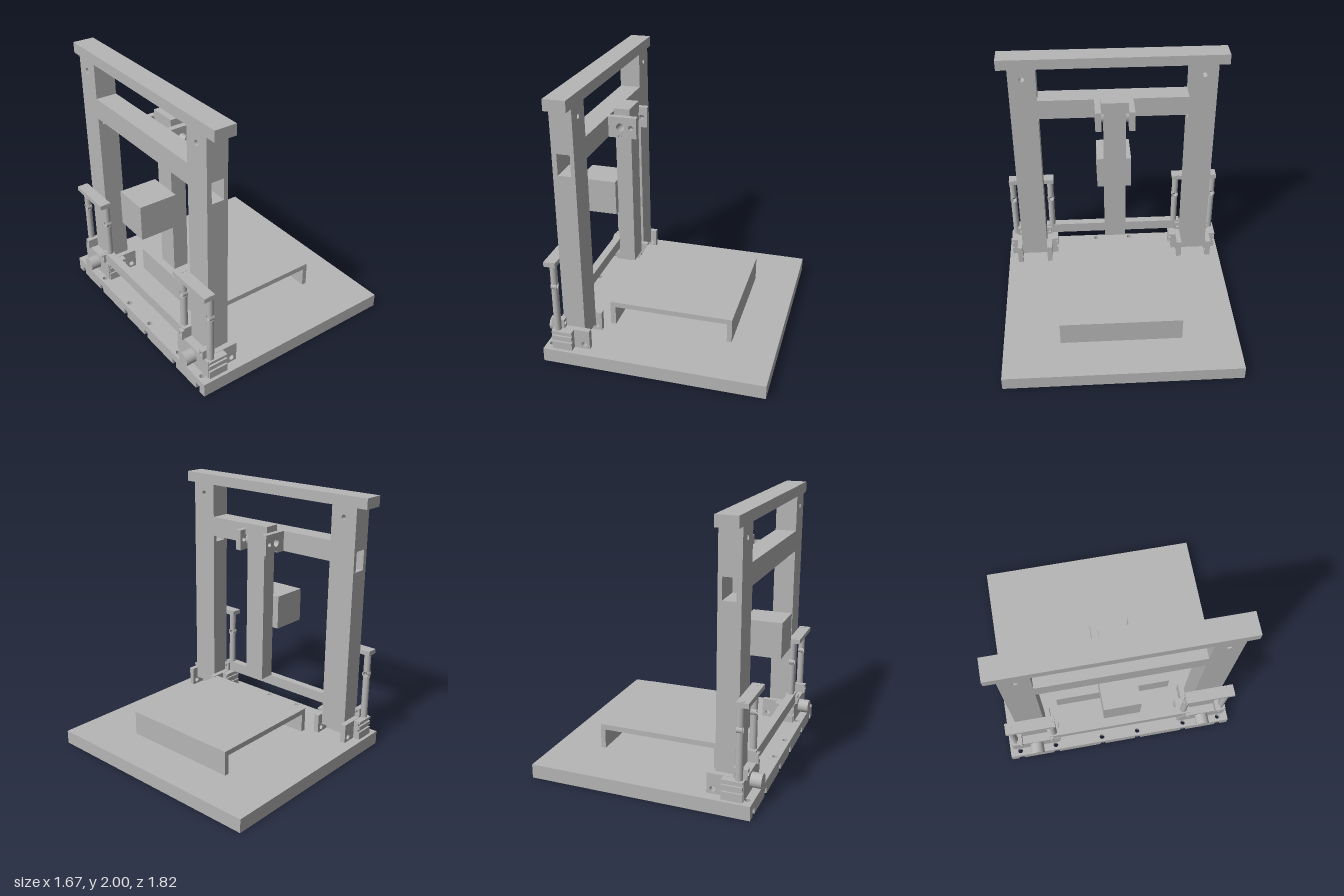
import * as THREE from 'three';

const grey = new THREE.MeshStandardMaterial({ color: 0xb6b6b6 });
grey.name = 'light grey';

function add(parent, name, geometry) {
  const mesh = new THREE.Mesh(geometry, grey);
  mesh.name = name;
  parent.add(mesh);
  return mesh;
}

// Box given by its limits on each axis
function box(parent, name, [x0, x1], [y0, y1], [z0, z1]) {
  const g = new THREE.BoxGeometry(x1 - x0, y1 - y0, z1 - z0);
  return add(parent, name, g.translate((x0 + x1) / 2, (y0 + y1) / 2, (z0 + z1) / 2));
}

function polygon(points) {
  return new THREE.Shape(points.map(([x, y]) => new THREE.Vector2(x, y)));
}

function rect(x0, x1, y0, y1) {
  return polygon([[x0, y0], [x1, y0], [x1, y1], [x0, y1]]);
}

function disc(x, y, r) {
  return new THREE.Shape().absarc(x, y, r, 0, Math.PI * 2, false);
}

// Extrudes a shape with holes between two positions on an axis
// (shape axes: z -> x,y   x -> -z,y   y -> x,-z)
function slab(parent, name, axis, [from, to], shape, holes = []) {
  shape.holes.push(...holes);
  const g = new THREE.ExtrudeGeometry(shape, { depth: to - from, bevelEnabled: false, curveSegments: 16 });
  g.translate(0, 0, from);
  if (axis === 'x') g.rotateY(Math.PI / 2);
  if (axis === 'y') g.rotateX(-Math.PI / 2);
  return add(parent, name, g);
}

function group(parent, name) {
  const g = new THREE.Group();
  g.name = name;
  parent.add(g);
  return g;
}

// Base board: drilled upper layer, slotted lower layer
function buildBase(root) {
  const base = group(root, 'base');
  const holeZ = [-0.83, -0.535, -0.148, 0.148, 0.535, 0.83];
  slab(base, 'baseTop', 'y', [0.05, 0.105], rect(-0.815, 0.83, -0.91, 0.91),
    holeZ.map(z => disc(-0.775, z, 0.02)));
  const outline = [[0.83, -0.91], [0.83, 0.91], [-0.815, 0.91]];
  for (const z of [...holeZ].reverse()) {
    outline.push([-0.815, z + 0.022], [-0.775, z + 0.022], [-0.775, z + 0.055], [-0.745, z + 0.055],
      [-0.745, z + 0.022], [-0.7, z + 0.022], [-0.7, z - 0.022], [-0.745, z - 0.022],
      [-0.745, z - 0.055], [-0.775, z - 0.055], [-0.775, z - 0.022], [-0.815, z - 0.022]);
  }
  outline.push([-0.815, -0.91]);
  slab(base, 'baseBottom', 'y', [0, 0.05], polygon(outline));
}

// Work table: an upside-down channel
function buildTable(root) {
  slab(root, 'table', 'z', [-0.472, 0.472], polygon([
    [-0.45, 0.105], [-0.41, 0.105], [-0.41, 0.255], [0.455, 0.255],
    [0.455, 0.105], [0.492, 0.105], [0.492, 0.295], [-0.45, 0.295]]));
}

// Portal frame: posts with windows, beams
function buildFrame(root) {
  const frame = group(root, 'frame');
  box(frame, 'topBeam', [-0.69, -0.53], [1.92, 2], [-0.872, 0.872]);
  box(frame, 'crossBeam', [-0.69, -0.53], [1.5, 1.657], [-0.58, 0.58]);
  box(frame, 'rearTieBar', [-0.75, -0.69], [0.255, 0.34], [-0.58, 0.58]);
  for (const s of [-1, 1]) {
    const z = s > 0 ? [0.58, 0.79] : [-0.79, -0.58];
    slab(frame, 'post', 'z', z, rect(-0.69, -0.53, 0.165, 1.7), [rect(-0.655, -0.56, 1.445, 1.6)]);
    slab(frame, 'postHead', 'x', [-0.69, -0.53], rect(-z[1], -z[0], 1.7, 1.92), [disc(-s * 0.685, 1.84, 0.02)]);
  }
}

// Tool head: column, pivot hub, clamp cheeks and rear motor
function buildHead(root) {
  const head = group(root, 'toolHead');
  slab(head, 'column', 'z', [-0.084, 0.084], rect(-0.5, -0.38, 0.452, 1.66),
    [disc(-0.44, 1.58, 0.03), disc(-0.44, 1.495, 0.02)]);
  box(head, 'columnCap', [-0.5, -0.38], [1.615, 1.705], [-0.105, 0.105]);
  slab(head, 'hub', 'z', [-0.11, 0.11], disc(-0.44, 1.575, 0.06), [disc(-0.44, 1.58, 0.03)]);
  for (const z of [[0.105, 0.15], [-0.15, -0.105]]) {
    const cheek = new THREE.Shape();
    cheek.moveTo(-0.53, 1.5);
    cheek.lineTo(-0.46, 1.5);
    cheek.absarc(-0.44, 1.5, 0.02, Math.PI, 0, true);
    cheek.lineTo(-0.318, 1.5);
    cheek.lineTo(-0.318, 1.657);
    cheek.lineTo(-0.53, 1.657);
    slab(head, 'clampCheek', 'z', z, cheek, [disc(-0.44, 1.58, 0.03), disc(-0.36, 1.58, 0.018)]);
  }
  box(head, 'motor', [-0.79, -0.5], [0.867, 1.133], [-0.136, 0.136]);
}

// Foot assembly for the post on the given side
function buildFoot(root, s) {
  const foot = group(root, s > 0 ? 'leftFoot' : 'rightFoot');
  const span = (a, b) => (s > 0 ? [a, b] : [-b, -a]);
  box(foot, 'driveHousing', [-0.755, -0.6], [0.105, 0.253], span(0.5, 0.87));
  for (const z of [span(0.54, 0.58), span(0.79, 0.832)]) {
    slab(foot, 'postCheek', 'z', z, rect(-0.7, -0.482, 0.105, 0.255), [disc(-0.525, 0.14, 0.02)]);
    slab(foot, 'clip', 'x', [-0.77, -0.67], rect(-z[1], -z[0], 0.25, 0.325),
      [disc(-(z[0] + z[1]) / 2, 0.29, 0.016)]);
  }
  // Outer clasps on the housing ends
  for (const z of [span(0.487, 0.505), span(0.865, 0.885)]) {
    box(foot, 'clasp', [-0.75, -0.6], [0.105, 0.165], z);
    box(foot, 'clasp', [-0.75, -0.6], [0.185, 0.215], z);
    box(foot, 'clasp', [-0.75, -0.6], [0.235, 0.253], z);
  }
  const knob = new THREE.CylinderGeometry(0.053, 0.053, 0.085, 32).rotateZ(Math.PI / 2);
  add(foot, 'driveKnob', knob).position.set(-0.794, 0.183, s * 0.683);
  // Guide rods with an eyelet, joined by a top bar
  for (const z of [0.53, 0.845]) {
    for (const [y0, y1] of [[0.25, 0.595], [0.637, 0.812]]) {
      const rod = new THREE.CylinderGeometry(0.026, 0.026, y1 - y0, 24);
      add(foot, 'guideRod', rod).position.set(-0.715, (y0 + y1) / 2, s * z);
    }
    slab(foot, 'rodEyelet', 'x', [-0.735, -0.695], disc(-s * z, 0.616, 0.028), [disc(-s * z, 0.616, 0.019)]);
  }
  box(foot, 'rodBar', [-0.777, -0.69], [0.775, 0.81], span(0.5, 0.872));
}

export function createModel() {
  const root = new THREE.Group();
  root.name = 'gantryMachine';
  buildBase(root);
  buildTable(root);
  buildFrame(root);
  buildHead(root);
  for (const s of [-1, 1]) buildFoot(root, s);
  return root;
}
